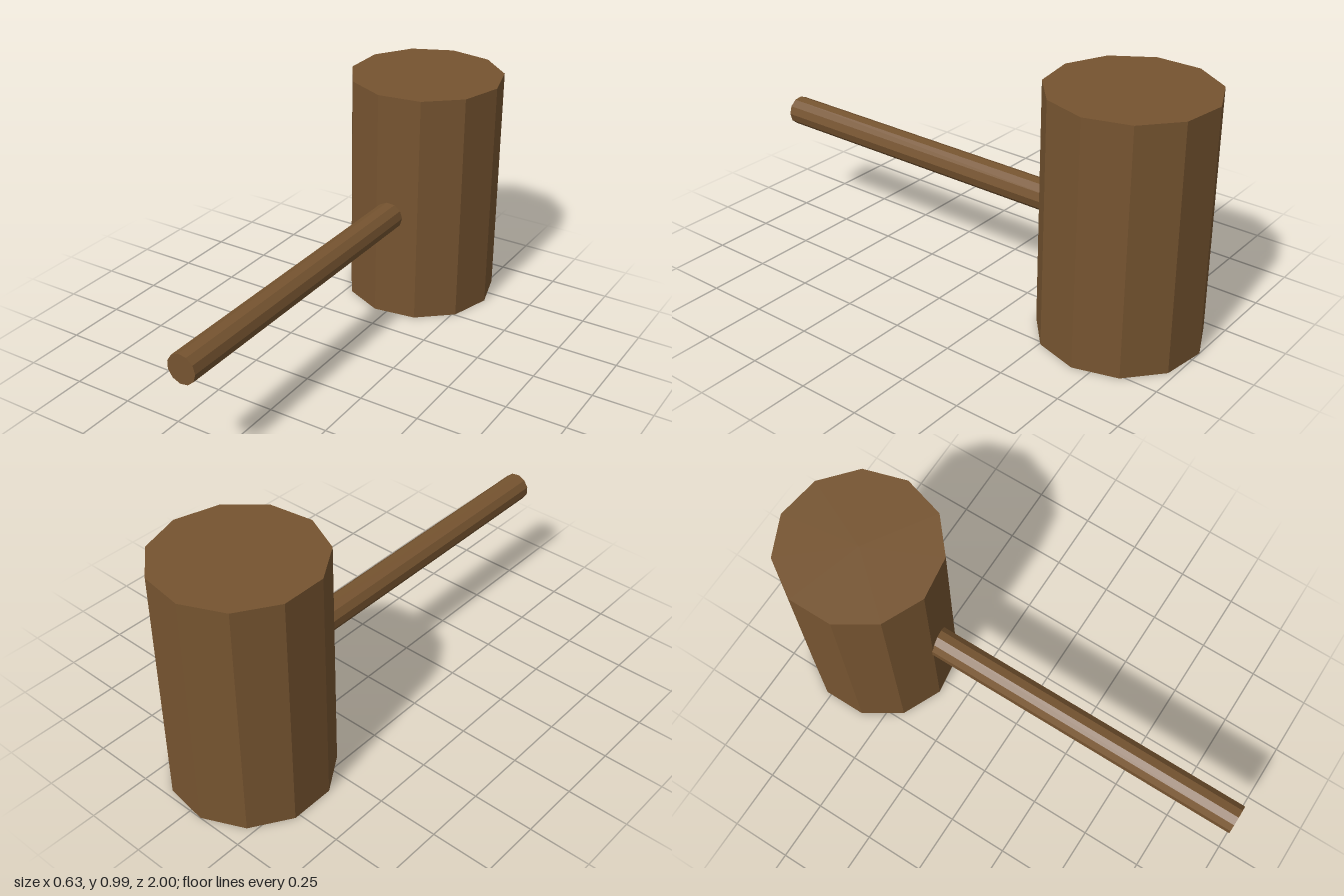
import * as THREE from 'three';

const SIDES = 11;

// Faceted cylinder with one corner pointing to +x
function facetedCylinder(name, radius, length, material) {
  const geometry = new THREE.CylinderGeometry(radius, radius, length, SIDES, 1, false, Math.PI / 2);
  const mesh = new THREE.Mesh(geometry, material);
  mesh.name = name;
  return mesh;
}

export function createModel() {
  const model = new THREE.Group();
  model.name = 'mallet';
  const wood = new THREE.MeshStandardMaterial({ color: 0x765430, flatShading: true });
  wood.name = 'brown wood';

  // Upright head at the back
  const head = facetedCylinder('head', 0.323, 0.99, wood);
  head.position.set(-0.008, 0.495, -0.68);

  // Handle runs forward from inside the head
  const back = -0.45, front = 1;
  const handle = facetedCylinder('handle', 0.0605, front - back, wood);
  handle.geometry.rotateX(Math.PI / 2);
  handle.position.set(0, 0.462, (front + back) / 2);

  model.add(head, handle);
  return model;
}
